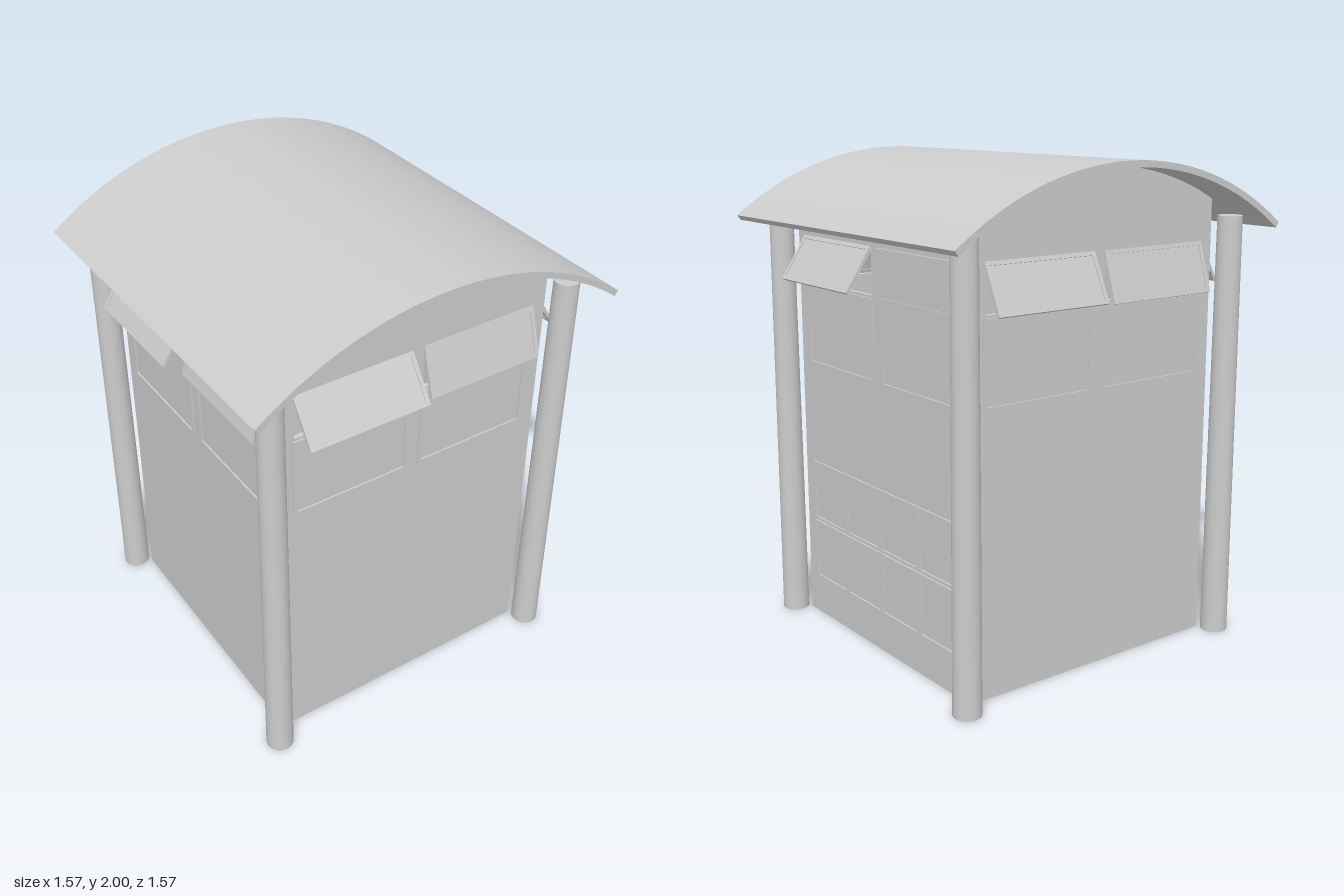
import * as THREE from 'three';
import { toCreasedNormals } from 'three/addons/utils/BufferGeometryUtils.js';

const HALF = 0.6;        // half width of the cabin
const WALL = 0.02;       // wall thickness
const ARC_Y = 0.7;       // centre height of the roof arc
const R_OUT = 1.3, R_IN = 1.275;
const WIN = { w: 0.51, x: 0.28, top: 1.66, mid: 1.46, bottom: 1.12 };

export function createModel() {
  const model = new THREE.Group();
  model.name = 'shelter';
  const grey = new THREE.MeshStandardMaterial({ color: 0xcccccc });
  grey.name = 'plain grey';

  const add = (parent, name, geometry, x = 0, y = 0, z = 0) => {
    const mesh = new THREE.Mesh(geometry, grey);
    mesh.name = name;
    mesh.position.set(x, y, z);
    parent.add(mesh);
    return mesh;
  };
  const box = (parent, name, w, h, d, x, y, z) =>
    add(parent, name, new THREE.BoxGeometry(w, h, d), x, y, z);

  // Rectangular border of four bars, centred on (x, y)
  const frame = (parent, name, w, h, x, y, z, bar = 0.016, depth = 0.014) => {
    const g = new THREE.Group();
    g.name = name;
    g.position.set(x, y, z);
    parent.add(g);
    for (const s of [-1, 1]) {
      box(g, 'frameRail', w, bar, depth, 0, s * (h - bar) / 2, 0);
      box(g, 'frameStile', bar, h - 2 * bar, depth, s * (w - bar) / 2, 0, 0);
    }
  };

  // Wall sheet with two vent openings; gable walls follow the roof arc
  const wallGeometry = (half, gable) => {
    const s = new THREE.Shape();
    const eave = ARC_Y + Math.sqrt(R_IN * R_IN - HALF * HALF);
    s.moveTo(-half, 0);
    s.lineTo(half, 0);
    s.lineTo(half, eave);
    if (gable) {
      const a = Math.asin(half / R_IN);
      s.absarc(0, ARC_Y, R_IN, Math.PI / 2 - a, Math.PI / 2 + a, false);
    }
    s.lineTo(-half, eave);
    s.closePath();
    for (const side of [-1, 1]) {
      const l = side * WIN.x - WIN.w / 2 + 0.01, r = side * WIN.x + WIN.w / 2 - 0.01;
      const hole = new THREE.Path();
      hole.moveTo(l, WIN.mid + 0.01);
      hole.lineTo(l, WIN.top - 0.01);
      hole.lineTo(r, WIN.top - 0.01);
      hole.lineTo(r, WIN.mid + 0.01);
      hole.closePath();
      s.holes.push(hole);
    }
    return new THREE.ExtrudeGeometry(s, { depth: WALL, bevelEnabled: false, curveSegments: 32 });
  };

  // Vent flap hinged along its top edge
  const flap = (parent, x, degrees) => {
    const g = new THREE.Group();
    g.name = 'ventFlap';
    g.position.set(x, WIN.top, HALF + 0.004);
    g.rotation.x = -THREE.MathUtils.degToRad(degrees);
    parent.add(g);
    const h = WIN.top - WIN.mid + 0.005;
    box(g, 'flapPanel', WIN.w - 0.02, h - 0.02, 0.006, 0, -h / 2, 0);
    frame(g, 'flapFrame', WIN.w, h, 0, -h / 2, 0);
  };

  // Four sides: opening angles of the left and right flap as seen from outside
  const sides = [
    { name: 'frontWall', turn: 0, open: [35, 17], gable: true },
    { name: 'leftWall', turn: 1, open: [33, 0], panes: true },
    { name: 'backWall', turn: 2, open: [25, 17], gable: true },
    { name: 'rightWall', turn: 3, open: [30, 14] },
  ];
  for (const side of sides) {
    const g = new THREE.Group();
    g.name = side.name;
    g.rotation.y = side.turn * Math.PI / 2;
    model.add(g);
    add(g, 'wallSheet', wallGeometry(side.gable ? HALF : HALF - WALL, side.gable), 0, 0, HALF - WALL);

    side.open.forEach((angle, i) => {
      const x = (i ? 1 : -1) * WIN.x;
      flap(g, x, angle);
      frame(g, 'lowerWindowFrame', WIN.w, WIN.mid - WIN.bottom, x, (WIN.mid + WIN.bottom) / 2, HALF);
    });

    // Lower window: two rows of four square panes
    if (side.panes) {
      for (let row = 0; row < 2; row++) {
        for (let col = 0; col < 4; col++) {
          frame(g, 'paneFrame', 0.262, 0.262, -0.402 + col * 0.268, 0.295 + row * 0.268, HALF, 0.012);
        }
      }
    }
  }

  // Floor, set slightly above the wall bottoms
  box(model, 'floor', 2 * (HALF - WALL), 0.02, 2 * (HALF - WALL), 0, 0.07, 0);

  // Tapered corner posts
  for (const x of [-1, 1]) {
    for (const z of [-1, 1]) {
      add(model, 'cornerPost', new THREE.CylinderGeometry(0.05, 0.056, 1.76, 32), x * 0.652, 0.88, z * 0.652);
    }
  }

  // Barrel roof
  const a = Math.asin(0.787 / R_OUT);
  const arc = new THREE.Shape();
  arc.absarc(0, ARC_Y, R_OUT, Math.PI / 2 - a, Math.PI / 2 + a, false);
  arc.absarc(0, ARC_Y, R_IN, Math.PI / 2 + a, Math.PI / 2 - a, true);
  arc.closePath();
  const roof = new THREE.ExtrudeGeometry(arc, { depth: 1.574, bevelEnabled: false, curveSegments: 40 });
  add(model, 'roof', toCreasedNormals(roof, 0.5), 0, 0, -0.787);

  return model;
}
